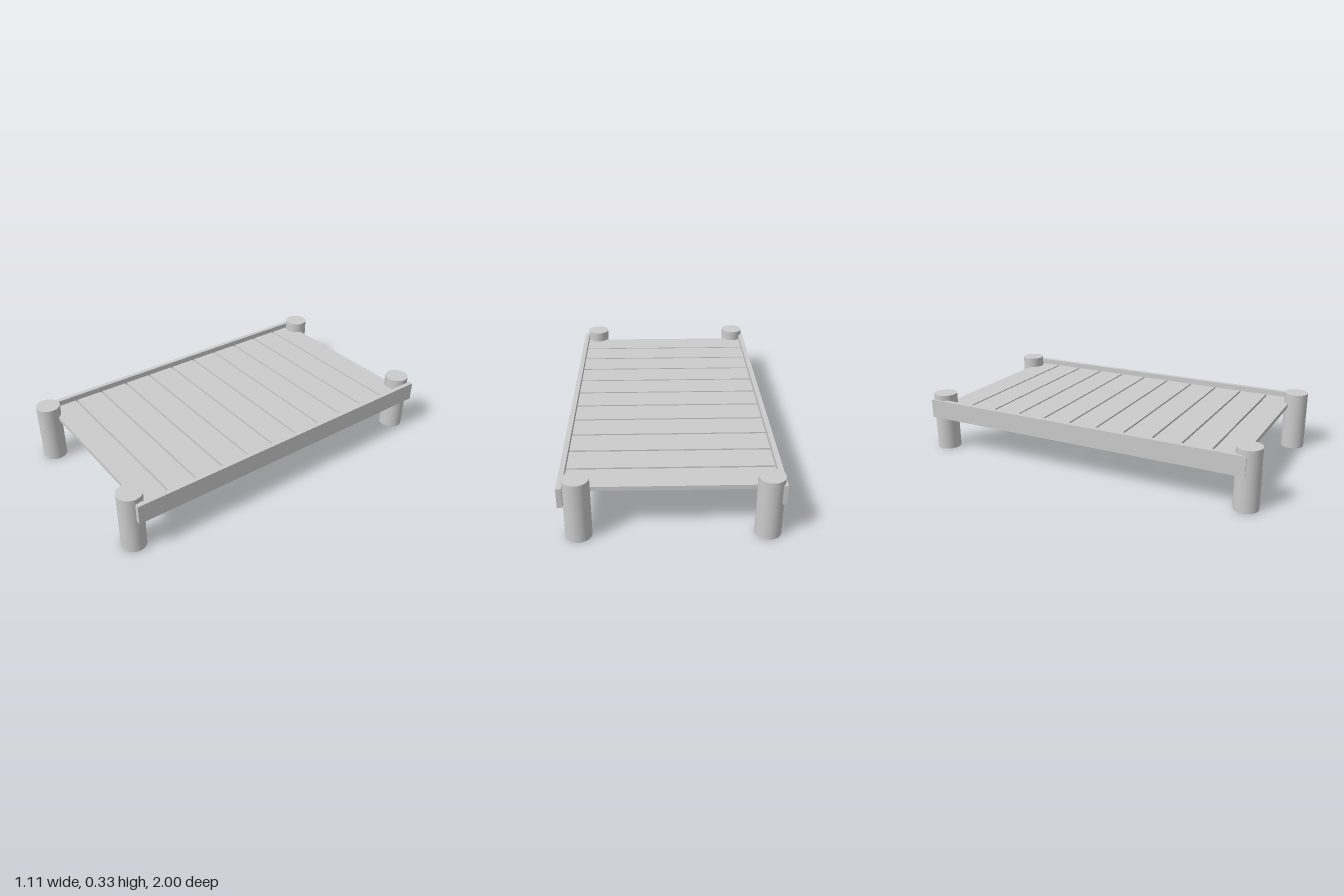
import * as THREE from 'three';

export function createModel() {
  const group = new THREE.Group();
  const material = new THREE.MeshStandardMaterial({ color: 0xcccccc });

  function add(name, geometry, x, y, z) {
    const mesh = new THREE.Mesh(geometry, material);
    mesh.name = name;
    mesh.position.set(x, y, z);
    group.add(mesh);
  }

  // Round corner posts
  const postHeight = 0.333;
  const post = new THREE.CylinderGeometry(0.067, 0.067, postHeight, 48);
  for (const [zName, z] of [['front', 0.933], ['back', -0.933]]) {
    add(zName + 'LeftPost', post, 0.462, postHeight / 2, z);
    add(zName + 'RightPost', post, -0.48, postHeight / 2, z);
  }

  // Long side rails on the outer faces of the posts
  const rail = new THREE.BoxGeometry(0.027, 0.108, 1.917);
  add('leftRail', rail, 0.5395, 0.25, -0.0195);
  add('rightRail', rail, -0.5395, 0.25, -0.0195);

  // Cross slats with narrow gaps between the rails
  const slatCount = 11, slatWidth = 0.155, pitch = 0.1665;
  const slat = new THREE.BoxGeometry(1.052, 0.024, slatWidth);
  for (let i = 0; i < slatCount; i++) {
    add('slat' + (i + 1), slat, 0, 0.261, -0.92 + slatWidth / 2 + i * pitch);
  }

  return group;
}
